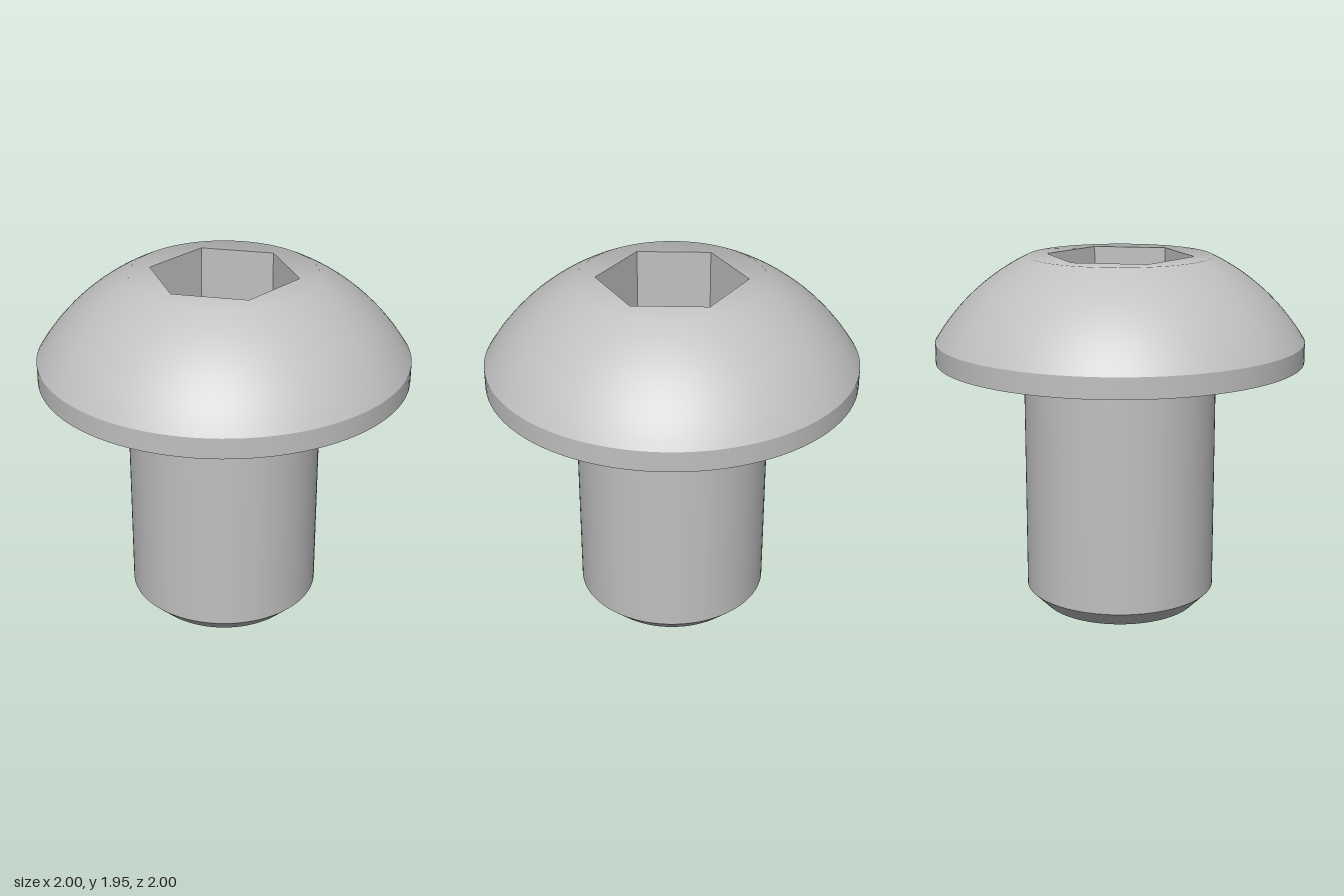
import * as THREE from 'three';

export function createModel() {
  const model = new THREE.Group();
  const steel = new THREE.MeshStandardMaterial({ color: 0xc0c0c0 });
  steel.name = 'steel grey';

  const SEG = 96;
  const SHANK_R = 0.525, TIP_R = 0.43, CHAMFER_Y = 0.095;
  const HEAD_Y = 1.39, RIM_Y = 1.5, TOP_Y = 1.95, TOP_R = 0.5;
  const DOME_Y = 0.892; // centre of the dome's sphere
  const SOCKET_R = 0.4, SOCKET_DEPTH = 0.37;

  const add = (name, geometry) => {
    const mesh = new THREE.Mesh(geometry, steel);
    mesh.name = name;
    model.add(mesh);
    return mesh;
  };
  // Each turned section is its own lathe, so edges between sections stay sharp.
  const turned = (name, points) =>
    add(name, new THREE.LatheGeometry(points.map(([r, y]) => new THREE.Vector2(r, y)), SEG));

  // Shank with chamfered tip
  turned('tipFace', [[0, 0], [TIP_R, 0]]);
  turned('tipChamfer', [[TIP_R, 0], [SHANK_R, CHAMFER_Y]]);
  turned('shank', [[SHANK_R, CHAMFER_Y], [SHANK_R, HEAD_Y]]);

  // Button head
  turned('headUnderside', [[SHANK_R, HEAD_Y], [1, HEAD_Y]]);
  turned('headRim', [[1, HEAD_Y], [1, RIM_Y]]);
  const domeR = Math.hypot(1, RIM_Y - DOME_Y);
  const a0 = Math.atan2(RIM_Y - DOME_Y, 1);
  const a1 = Math.atan2(TOP_Y - DOME_Y, TOP_R);
  const arc = [];
  for (let i = 0; i <= 16; i++) {
    const a = a0 + (a1 - a0) * i / 16;
    arc.push([domeR * Math.cos(a), DOME_Y + domeR * Math.sin(a)]);
  }
  turned('headDome', arc);

  // Flat crown around the socket, shaded smoothly into the dome
  const hexagon = [];
  for (let i = 0; i < 6; i++) {
    const a = i * Math.PI / 3;
    hexagon.push(new THREE.Vector2(SOCKET_R * Math.cos(a), SOCKET_R * Math.sin(a)));
  }
  const crownShape = new THREE.Shape().absarc(0, 0, TOP_R, 0, Math.PI * 2);
  crownShape.holes.push(new THREE.Path(hexagon.slice().reverse()));
  const crown = new THREE.ShapeGeometry(crownShape, SEG / 2);
  crown.rotateX(-Math.PI / 2).translate(0, TOP_Y, 0);
  const pos = crown.attributes.position;
  const normal = new THREE.Vector3();
  for (let i = 0; i < pos.count; i++) {
    normal.fromBufferAttribute(pos, i);
    normal.y -= DOME_Y;
    normal.normalize();
    crown.attributes.normal.setXYZ(i, normal.x, normal.y, normal.z);
  }
  add('headCrown', crown);

  // Hexagonal socket: six walls facing inwards, and a flat floor
  let walls = new THREE.CylinderGeometry(
    SOCKET_R, SOCKET_R, SOCKET_DEPTH, 6, 1, true, Math.PI / 2);
  walls.scale(-1, 1, 1); // mirroring turns the faces inwards
  walls = walls.toNonIndexed();
  walls.computeVertexNormals();
  add('socketWalls', walls).position.y = TOP_Y - SOCKET_DEPTH / 2;

  const floor = new THREE.ShapeGeometry(new THREE.Shape(hexagon));
  floor.rotateX(-Math.PI / 2);
  add('socketFloor', floor).position.y = TOP_Y - SOCKET_DEPTH;

  return model;
}
